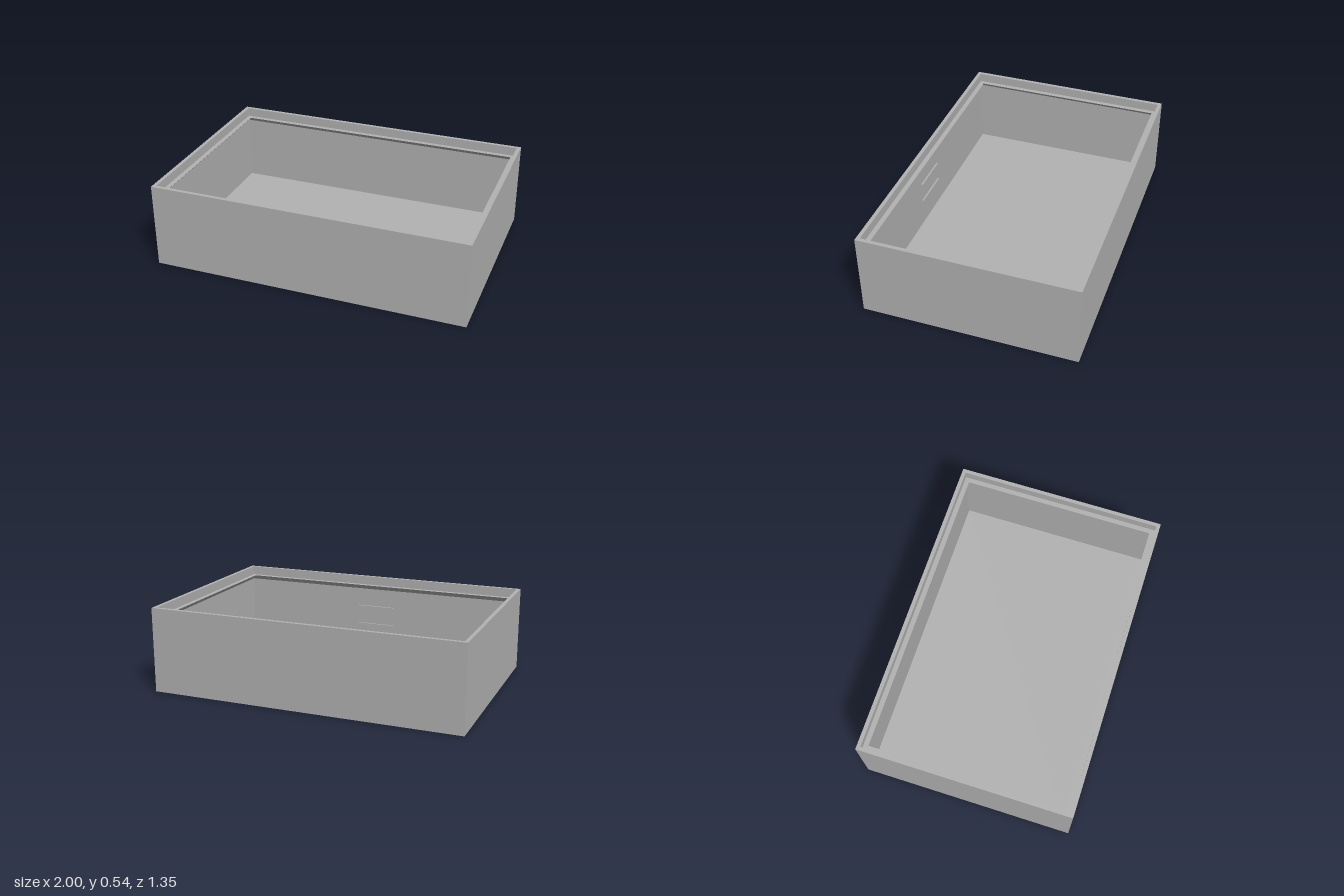
import * as THREE from 'three';

const HALF_X = 1, HALF_Z = 0.676, HEIGHT = 0.543;
const WALL = 0.024, FLOOR = 0.021, LEDGE = 0.055, LEDGE_Y = 0.485;

// Corners of a rectangle inset from the outer outline, counterclockwise from above
function ring([inset, y]) {
  const x = HALF_X - inset, z = HALF_Z - inset;
  return [[-x, y, z], [x, y, z], [x, y, -z], [-x, y, -z]];
}

// Sweeps an (inset, y) profile round the rectangle and caps both ends
function sweepTray(profile) {
  const rings = profile.map(ring), positions = [];
  const quad = (a, b, c, d) => positions.push(...a, ...b, ...c, ...a, ...c, ...d);
  for (let i = 0; i < rings.length - 1; i++) {
    const low = rings[i], high = rings[i + 1];
    for (let k = 0; k < 4; k++) {
      const n = (k + 1) % 4;
      quad(low[k], low[n], high[n], high[k]);
    }
  }
  quad(...[...rings[0]].reverse()); // underside
  quad(...rings[rings.length - 1]); // inner floor
  const geometry = new THREE.BufferGeometry();
  geometry.setAttribute('position', new THREE.Float32BufferAttribute(positions, 3));
  geometry.computeVertexNormals();
  return geometry;
}

export function createModel() {
  const group = new THREE.Group();
  group.name = 'openBox';
  const grey = new THREE.MeshStandardMaterial({ color: 0xb2b2b2 });
  grey.name = 'plain grey';

  // Tray: outer wall, rim, lid ledge with chamfered underside, inner wall, floor
  const tray = new THREE.Mesh(sweepTray([
    [0, 0],
    [0, HEIGHT],
    [WALL, HEIGHT],
    [WALL, LEDGE_Y],
    [LEDGE, LEDGE_Y],
    [WALL, LEDGE_Y - (LEDGE - WALL)],
    [WALL, FLOOR],
  ]), grey);
  tray.name = 'tray';
  group.add(tray);

  // Two short rails on the inside of the front wall
  const depth = 0.012;
  [0.325, 0.197].forEach((y, i) => {
    const rail = new THREE.Mesh(new THREE.BoxGeometry(0.26, 0.014, depth), grey);
    rail.name = i === 0 ? 'upperRail' : 'lowerRail';
    rail.position.set(0.01, y, HALF_Z - WALL - depth / 2 + 0.001);
    group.add(rail);
  });

  return group;
}
